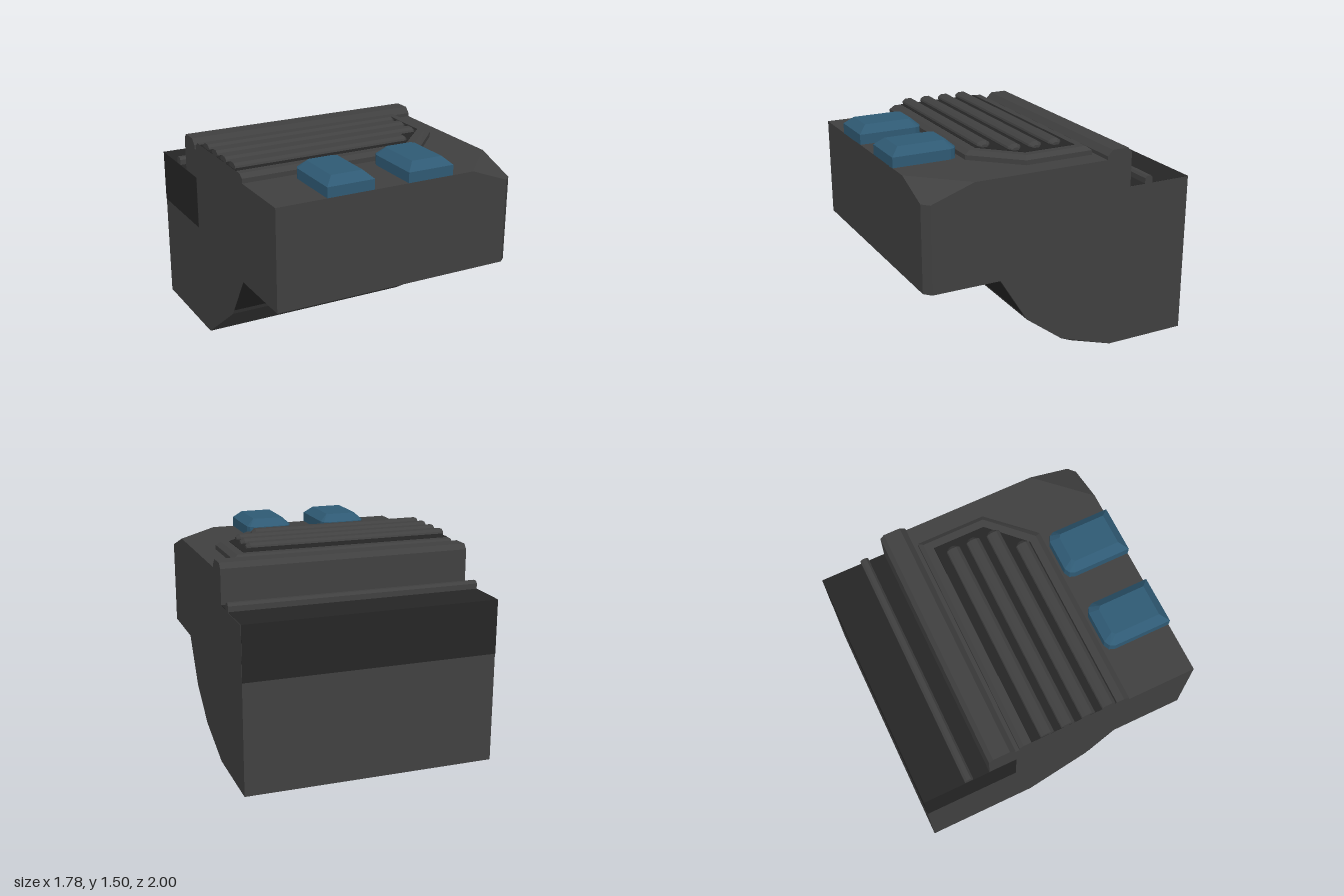
import * as THREE from 'three';
import { ConvexGeometry } from 'three/addons/geometries/ConvexGeometry.js';

const HALF = 0.89; // half width of the whole block

export function createModel() {
  const group = new THREE.Group();
  const grey = new THREE.MeshStandardMaterial({ color: 0x404040 });
  const dark = new THREE.MeshStandardMaterial({ color: 0x252525 });
  const blue = new THREE.MeshStandardMaterial({ color: 0x2f5a74 });
  grey.name = 'bodyGrey';
  dark.name = 'darkGrey';
  blue.name = 'capBlue';

  // faceted solid around a set of [x, y, z] corners
  const solid = (name, material, corners) => {
    const mesh = new THREE.Mesh(new ConvexGeometry(corners.map(c => new THREE.Vector3(...c))), material);
    mesh.name = name;
    group.add(mesh);
  };
  // a convex [z, y] profile placed at x
  const slice = (profile, x) => profile.map(([z, y]) => [x, y, z]);
  const prism = (name, material, profile, x0 = -HALF, x1 = HALF) =>
    solid(name, material, [...slice(profile, x0), ...slice(profile, x1)]);
  // a [x, z] outline placed at height y
  const level = (outline, y) => outline.map(([x, z]) => [x, y, z]);

  // upper body with its bevelled front corner
  solid('upperBody', grey, [
    ...slice([[1, 0.665], [1, 1.375], [-0.52, 1.375], [-0.52, 0.665]], -HALF),
    ...slice([[-0.52, 1.375], [-0.52, 0.665], [0.955, 0.665], [0.955, 1.27], [0.65, 1.375]], HALF),
    [0.56, 1.375, 1], [0.84, 1.27, 1], [0.84, 0.665, 1],
  ]);

  // lower body with sloping front and one clipped bottom corner
  solid('lowerBody', grey, [
    ...slice([[0.47, 0.665], [0.27, 0.34], [-0.18, 0], [-1, 0], [-1, 0.665]], -HALF),
    ...slice([[0.47, 0.665], [0.27, 0.34], [0, 0.136], [-0.4, 0], [-1, 0], [-1, 0.665]], HALF),
    [0.72, 0, -0.18],
  ]);
  prism('rearBody', grey, [[-0.5, 0.665], [-0.5, 1.16], [-1, 1.16], [-1, 0.665]]);

  // dark rear shelf and dark facing under the overhang
  prism('rearShelf', dark, [[-0.32, 0.78], [-0.32, 1.162], [-1.002, 1.162], [-1.002, 0.78]], -HALF - 0.002, HALF - 0.002);
  prism('undercutPlate', dark, [[0.474, 0.664], [0.299, 0.38], [0.293, 0.38], [0.466, 0.664]], -HALF, HALF - 0.001);

  // crosswise ridge and thin rear rail
  prism('ridge', grey, [[-0.33, 1.37], [-0.33, 1.40], [-0.37, 1.44], [-0.49, 1.44], [-0.52, 1.405], [-0.52, 1.37]]);
  prism('rearRail', grey, [[-0.64, 1.16], [-0.64, 1.20], [-0.655, 1.216], [-0.685, 1.216], [-0.70, 1.20], [-0.70, 1.16]]);

  // bevelled grille base with a dark inlay
  const outer = [[-HALF, -0.30], [0.74, -0.30], [0.74, 0.20], [0.45, 0.505], [-HALF, 0.505]];
  const inner = [[-HALF, -0.27], [0.705, -0.27], [0.705, 0.185], [0.43, 0.465], [-HALF, 0.465]];
  const inlay = [[-HALF, -0.215], [0.65, -0.215], [0.65, 0.165], [0.405, 0.41], [-HALF, 0.41]];
  solid('grilleBase', grey, [...level(outer, 1.37), ...level(outer, 1.408), ...level(inner, 1.433)]);
  solid('grilleInlay', dark, [...level(inlay, 1.43), ...level(inlay, 1.436)]);

  // four bars with tapered ends
  [[-0.10, 0.60], [0.05, 0.60], [0.20, 0.59], [0.35, 0.43]].forEach(([z, end]) => {
    const bar = s => [[-0.04, 1.433], [-0.05, 1.447], [-0.045, 1.46], [-0.022, 1.475],
      [0.022, 1.475], [0.045, 1.46], [0.05, 1.447], [0.04, 1.433]]
      .map(([dz, y]) => [z + dz * s, 1.433 + (y - 1.433) * s]);
    solid('grilleBar', grey, [...slice(bar(1), -HALF), ...slice(bar(1), end - 0.025), ...slice(bar(0.5), end)]);
  });

  // two blue caps on the front edge
  [-0.365, 0.228].forEach(x => {
    const rim = [[-0.17, 1], [0.17, 1], [0.17, 0.585], [0.155, 0.55], [0.115, 0.53],
      [-0.115, 0.53], [-0.155, 0.55], [-0.17, 0.585]].map(([dx, z]) => [x + dx, z]);
    const crown = [[-0.113, 0.94], [0.113, 0.94], [0.113, 0.61], [0.09, 0.59],
      [-0.09, 0.59], [-0.113, 0.61]].map(([dx, z]) => [x + dx, z]);
    solid('frontCap', blue, [...level(rim, 1.372), ...level(rim, 1.447), ...level(crown, 1.5)]);
  });

  return group;
}
